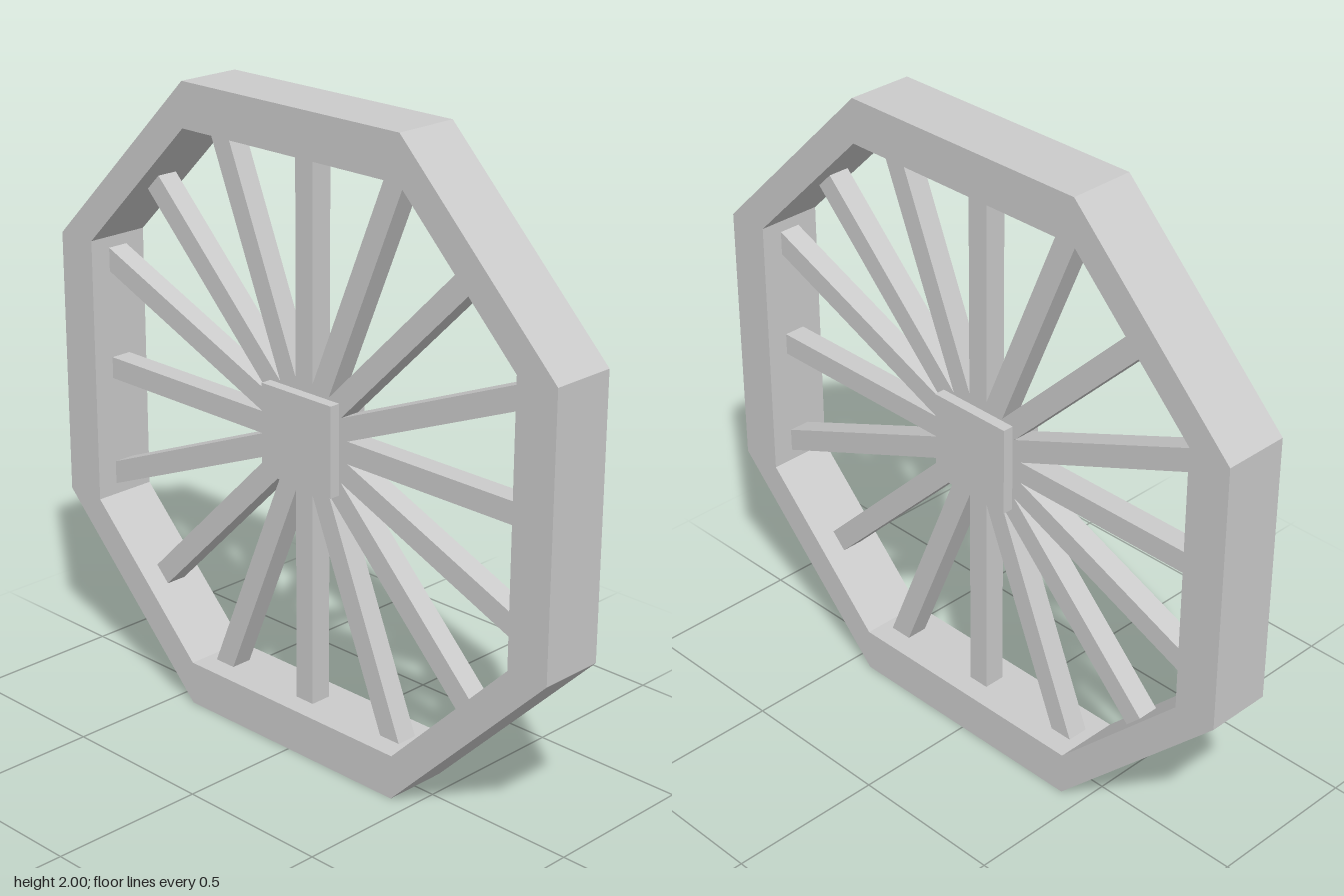
import * as THREE from 'three';

export function createModel() {
  const wheel = new THREE.Group();
  wheel.name = 'wheel';
  const material = new THREE.MeshStandardMaterial({ color: 0xcccccc, flatShading: true });

  const add = (name, geometry, parent = wheel) => {
    const mesh = new THREE.Mesh(geometry, material);
    mesh.name = name;
    parent.add(mesh);
    return mesh;
  };

  // Octagon with flats at distance r and half-length h on the upright and level sides
  const octagon = (r, h) => [
    [r, -h], [r, h], [h, r], [-h, r], [-r, h], [-r, -h], [-h, -r], [h, -r],
  ].map(([x, y]) => new THREE.Vector2(x, y));

  // Rim: octagonal ring, extruded across the wheel's width
  const rimWidth = 0.21;
  const ring = new THREE.Shape(octagon(1, 0.43));
  ring.holes.push(new THREE.Path(octagon(0.86, 0.43)));
  const rim = new THREE.ExtrudeGeometry(ring, { depth: rimWidth, bevelEnabled: false });
  rim.translate(0, 0, -rimWidth / 2).rotateY(Math.PI / 2);
  add('rim', rim);

  // Spokes: eight square bars through the centre, ends sunk into the rim
  const spokes = new THREE.Group();
  spokes.name = 'spokes';
  wheel.add(spokes);
  const bar = new THREE.BoxGeometry(0.07, 1, 0.07);
  for (let i = 0; i < 8; i++) {
    const spoke = add('spokePair', bar, spokes);
    spoke.rotation.x = (i * Math.PI) / 8;
    spoke.scale.y = i % 2 ? 1.92 : i % 4 ? 1.86 : 1.76;
  }

  // Hub: square block standing proud of the spokes on both sides
  add('hub', new THREE.BoxGeometry(0.14, 0.285, 0.285));

  wheel.position.y = 1;
  const model = new THREE.Group();
  model.add(wheel);
  return model;
}
